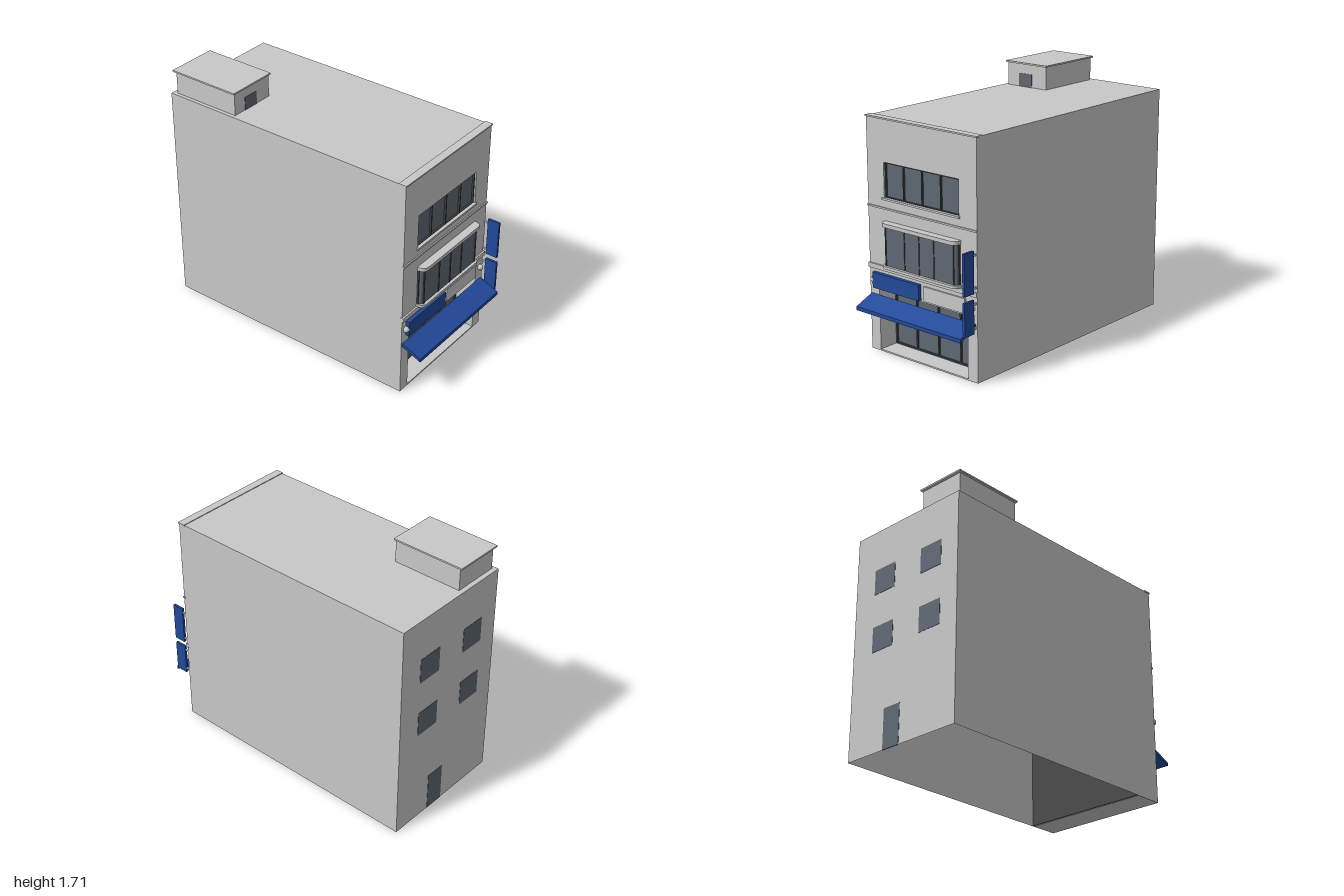
import * as THREE from 'three';

const mat = (name, color, side = THREE.FrontSide) => {
  const m = new THREE.MeshStandardMaterial({ color, side });
  m.name = name;
  return m;
};

export function createModel() {
  const root = new THREE.Group();
  root.name = 'townBuilding';
  const wall = mat('wall grey', 0xc8c8c8, THREE.DoubleSide);
  const glass = mat('window glass', 0x5e6772);
  const dark = mat('dark frame', 0x444444);
  const blue = mat('sign blue', 0x22499a);

  const add = (name, geo, m, parent = root) => {
    const mesh = new THREE.Mesh(geo, m);
    mesh.name = name;
    parent.add(mesh);
    return mesh;
  };
  // Box given by its limits on each axis
  const box = (name, m, x0, x1, y0, y1, z0, z1, parent = root) => {
    const b = add(name, new THREE.BoxGeometry(x1 - x0, y1 - y0, z1 - z0), m, parent);
    b.position.set((x0 + x1) / 2, (y0 + y1) / 2, (z0 + z1) / 2);
    return b;
  };
  const group = (name) => {
    const g = new THREE.Group();
    g.name = name;
    root.add(g);
    return g;
  };
  // Dark frame around an opening, with upright mullions
  const frame = (g, x0, x1, y0, y1, z0, z1, bars, t = 0.008) => {
    box('frameBottom', dark, x0, x1, y0, y0 + t, z0, z1, g);
    box('frameTop', dark, x0, x1, y1 - t, y1, z0, z1, g);
    for (const x of [x0 + t / 2, ...bars, x1 - t / 2])
      box('mullion', dark, x - t / 2, x + t / 2, y0, y1, z0, z1, g);
  };

  const W = 0.46, H = 1.545, F = 0.86, B = -1, S = 0.57;

  // Shell: open underneath
  const shell = group('shell');
  const midZ = (F + B) / 2, depth = F - B;
  for (const s of [-1, 1]) {
    const side = add('sideWall', new THREE.PlaneGeometry(depth, H), wall, shell);
    side.rotation.y = s * Math.PI / 2;
    side.position.set(s * W, H / 2, midZ);
  }
  const back = add('backWall', new THREE.PlaneGeometry(2 * W, H), wall, shell);
  back.rotation.y = Math.PI;
  back.position.set(0, H / 2, B);
  const roof = add('roof', new THREE.PlaneGeometry(2 * W, depth), wall, shell);
  roof.rotation.x = -Math.PI / 2;
  roof.position.set(0, H, midZ);

  // Upper front wall with an opening for the top window
  const rect = (C, x0, x1, y0, y1) => new C([[x0, y0], [x1, y0], [x1, y1], [x0, y1]]
    .map(([x, y]) => new THREE.Vector2(x, y)));
  const front = rect(THREE.Shape, -W, W, S, H);
  front.holes.push(rect(THREE.Path, -0.315, 0.315, 1.035, 1.267));
  add('frontWall', new THREE.ExtrudeGeometry(front, { depth: 0.03, bevelEnabled: false }), wall, shell)
    .position.z = F - 0.03;

  // Cornice and belt courses
  box('cornice', wall, -0.465, 0.465, 1.54, 1.55, 0.81, 0.866);
  box('upperBelt', wall, -0.463, 0.463, 0.964, 0.975, 0.85, 0.868);
  box('lowerBelt', wall, -0.463, 0.463, 0.557, 0.588, 0.85, 0.872);

  // Top floor window
  const topWin = group('topWindow');
  box('pane', glass, -0.315, 0.315, 1.035, 1.267, 0.832, 0.838, topWin);
  frame(topWin, -0.315, 0.315, 1.035, 1.267, 0.836, 0.85, [-0.157, 0, 0.157]);
  box('sill', wall, -0.33, 0.325, 1.025, 1.038, 0.84, 0.872, topWin);

  // Bay window: rounded plan, extruded upwards
  const bay = group('bayWindow');
  const slab = (name, m, x0, x1, y0, y1, z1, r) => {
    const s = new THREE.Shape();
    s.moveTo(x0, -0.85);
    s.lineTo(x0, -z1 + r);
    s.quadraticCurveTo(x0, -z1, x0 + r, -z1);
    s.lineTo(x1 - r, -z1);
    s.quadraticCurveTo(x1, -z1, x1, -z1 + r);
    s.lineTo(x1, -0.85);
    const g = new THREE.ExtrudeGeometry(s, { depth: y1 - y0, bevelEnabled: false, curveSegments: 6 });
    g.rotateX(-Math.PI / 2);
    add(name, g, m, bay).position.y = y0;
  };
  slab('bayHead', wall, -0.31, 0.33, 0.865, 0.89, 0.915, 0.045);
  slab('bayGlass', glass, -0.3, 0.32, 0.6, 0.87, 0.893, 0.03);
  slab('baySill', wall, -0.31, 0.33, 0.59, 0.608, 0.912, 0.045);
  for (const x of [-0.278, -0.115, 0.01, 0.135, 0.298])
    box('bayMullion', dark, x - 0.004, x + 0.004, 0.608, 0.865, 0.88, 0.897, bay);
  for (const x of [-0.302, 0.322])
    box('bayPost', dark, x - 0.004, x + 0.004, 0.608, 0.865, 0.86, 0.87, bay);

  // Ground floor: pilasters, header and recessed shop front
  const shop = group('shopFront');
  for (const s of [-1, 1])
    box('pilaster', wall, s > 0 ? 0.38 : -W, s > 0 ? W : -0.38, 0, S, 0.66, F, shop);
  box('header', wall, -0.38, 0.38, 0.42, S, 0.66, F, shop);
  box('step', wall, -0.38, 0.38, 0, 0.01, 0.66, F, shop);
  box('shopBacking', dark, -0.459, 0.459, 0.002, S, 0.651, 0.659, shop);
  box('shopGlass', glass, -0.38, 0.38, 0.01, 0.42, 0.7, 0.708, shop);
  frame(shop, -0.38, 0.38, 0.01, 0.42, 0.705, 0.72, [-0.19, 0, 0.19], 0.01);

  // Fascia sign, blank panel and round lamps
  box('fasciaSign', blue, -0.415, -0.01, 0.43, 0.535, 0.85, 0.885);
  box('blankPanel', wall, 0.02, 0.365, 0.433, 0.53, 0.85, 0.872);
  for (const s of [-1, 1])
    add('lamp', new THREE.SphereGeometry(0.021, 16, 12), wall).position.set(s * 0.422, 0.48, 0.868);

  // Sloping awning
  const profile = new THREE.Shape([[-0.86, 0.382], [-1, 0.325], [-1, 0.3], [-0.86, 0.357]]
    .map(([x, y]) => new THREE.Vector2(x, y)));
  const awning = new THREE.ExtrudeGeometry(profile, { depth: 0.895, bevelEnabled: false });
  awning.rotateY(Math.PI / 2);
  add('awning', awning, blue).position.x = -0.45;

  // Projecting signs with wall brackets
  for (const [y0, y1] of [[0.33, 0.548], [0.587, 0.857]]) {
    const g = group('bladeSign');
    box('signBoard', blue, 0.443, 0.46, y0, y1, 0.89, 0.975, g);
    for (const y of [y0 + 0.032, y1 - 0.03])
      box('bracket', wall, 0.446, 0.457, y - 0.006, y + 0.006, 0.85, 0.892, g);
  }

  // Roof stair house
  const hut = group('stairHouse');
  box('hutWalls', wall, -0.435, -0.105, 1.54, 1.7, -0.967, -0.475, hut);
  box('hutCap', wall, -0.45, -0.095, 1.7, 1.711, -0.985, -0.465, hut);
  box('hutDoor', glass, -0.34, -0.228, H, 1.635, -0.477, -0.472, hut);

  // Rear windows and door
  for (const [x0, x1] of [[0.1, 0.285], [-0.317, -0.135]])
    for (const y of [0.68, 1.085])
      box('rearWindow', glass, x0, x1, y, y + 0.175, B - 0.002, B + 0.004);
  box('rearDoor', glass, 0.01, 0.15, 0, 0.27, B - 0.002, B + 0.004);

  return root;
}
